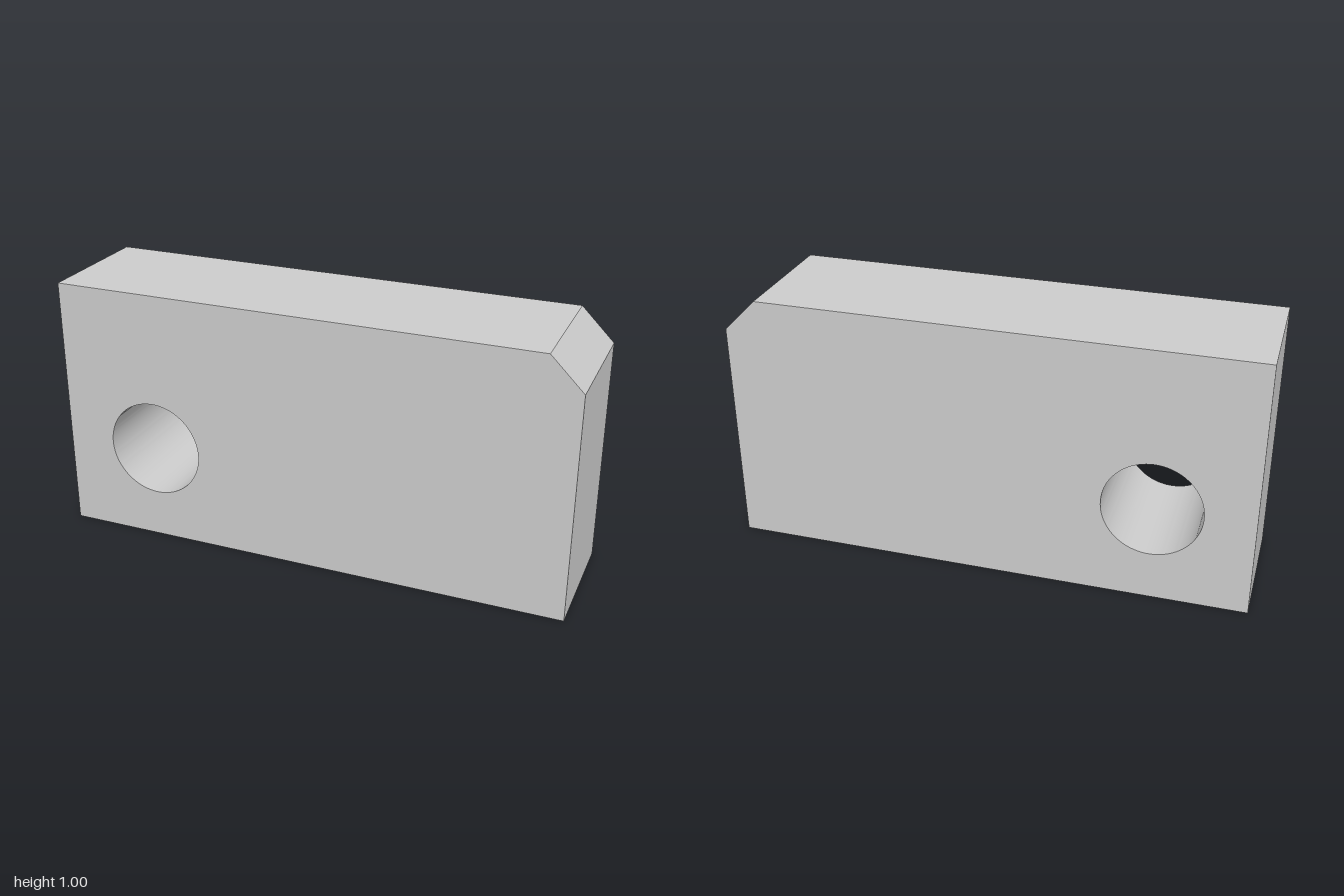
import * as THREE from 'three';
import { toCreasedNormals } from 'three/addons/utils/BufferGeometryUtils.js';

export function createModel() {
  const group = new THREE.Group();
  group.name = 'drilledBlock';

  const depth = 0.5;
  const chamfer = 0.125;

  // Block outline with one chamfered top corner
  const outline = new THREE.Shape();
  outline.moveTo(-1, 0);
  outline.lineTo(1, 0);
  outline.lineTo(1, 1 - chamfer);
  outline.lineTo(1 - chamfer, 1);
  outline.lineTo(-1, 1);
  outline.closePath();

  // Round through hole
  const hole = new THREE.Path();
  hole.absarc(-0.625, 0.375, 0.1875, 0, Math.PI * 2, true);
  outline.holes.push(hole);

  const extruded = new THREE.ExtrudeGeometry(outline, { depth, bevelEnabled: false, curveSegments: 64 });
  extruded.translate(0, 0, -depth / 2);

  // Smooth bore, sharp block edges
  const geometry = toCreasedNormals(extruded, Math.PI / 6);
  const block = new THREE.Mesh(geometry, new THREE.MeshStandardMaterial({ color: 0xcccccc }));
  block.name = 'block';
  group.add(block);

  return group;
}
